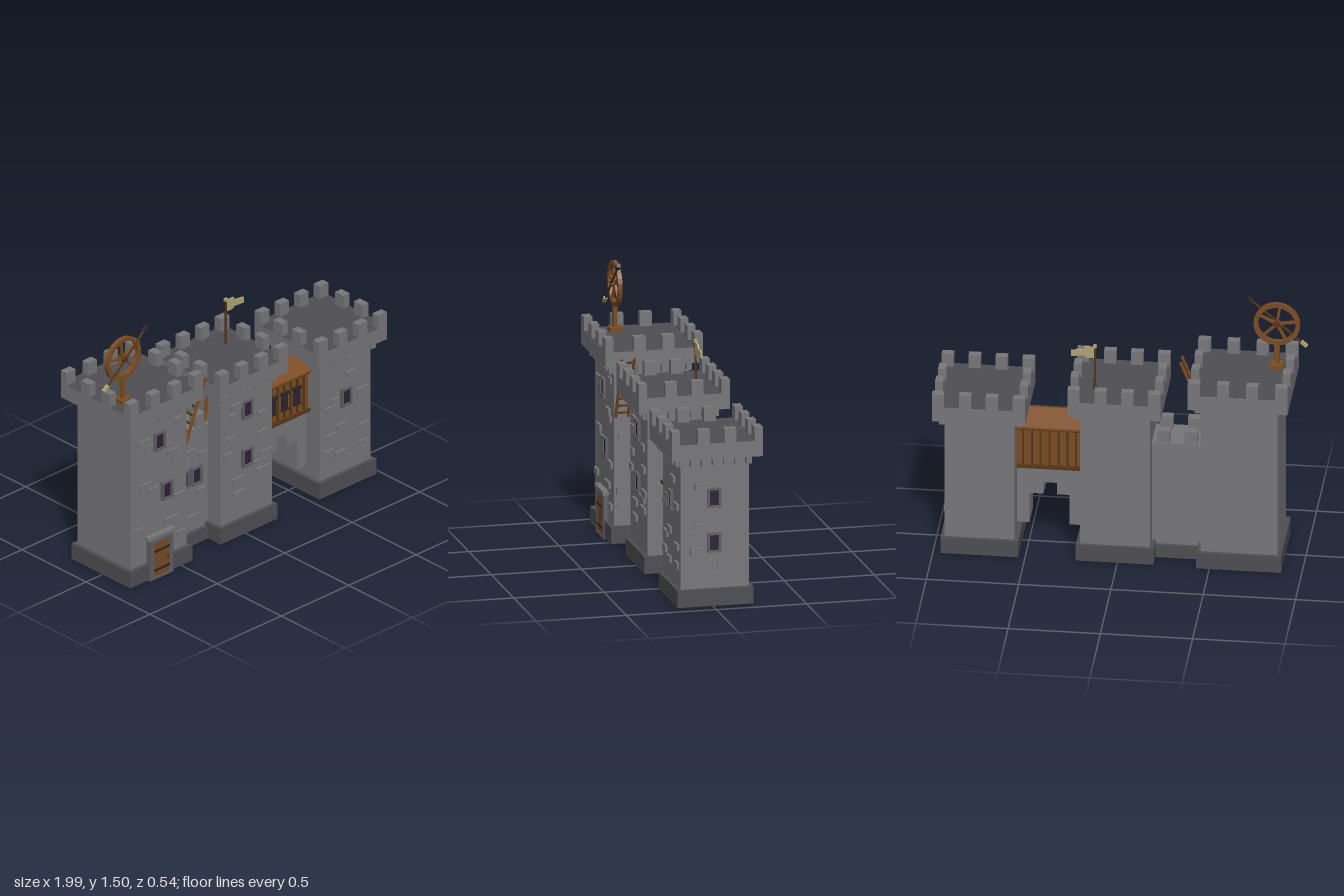
import * as THREE from 'three';

const mat = (name, color) => {
  const m = new THREE.MeshStandardMaterial({ color });
  m.name = name;
  return m;
};

export function createModel() {
  const stone = mat('stone', 0x77777a), dark = mat('darkStone', 0x4f4e53), trim = mat('frameStone', 0x605e64);
  const wood = mat('wood', 0x7b4c24), darkWood = mat('darkWood', 0x573618), glass = mat('glass', 0x2d2233);
  const iron = mat('iron', 0x2e2528), cloth = mat('cloth', 0xb0a575);
  const root = new THREE.Group();
  root.name = 'castle';

  const group = (name, parent = root) => {
    const g = new THREE.Group();
    g.name = name;
    parent.add(g);
    return g;
  };
  const add = (parent, name, geo, m, x = 0, y = 0, z = 0) => {
    const mesh = new THREE.Mesh(geo, m);
    mesh.name = name;
    mesh.position.set(x, y, z);
    parent.add(mesh);
    return mesh;
  };
  // Box given by its lower and upper corners
  const box = (parent, name, m, x0, x1, y0, y1, z0, z1) =>
    add(parent, name, new THREE.BoxGeometry(x1 - x0, y1 - y0, z1 - z0), m, (x0 + x1) / 2, (y0 + y1) / 2, (z0 + z1) / 2);
  // Square beam between two points
  const beam = (parent, name, m, a, b, t) => {
    const A = new THREE.Vector3(...a), B = new THREE.Vector3(...b), d = B.clone().sub(A);
    const mesh = add(parent, name, new THREE.BoxGeometry(t, d.length(), t), m);
    mesh.position.copy(A).add(B).multiplyScalar(0.5);
    mesh.quaternion.setFromUnitVectors(new THREE.Vector3(0, 1, 0), d.normalize());
    return mesh;
  };

  // Framed window, facing +z in its own group
  const addWindow = (parent, x, y, z, turn = 0) => {
    const g = group('window', parent), w = 0.038, h = 0.054, t = 0.012;
    box(g, 'windowGlass', glass, -w + t, w - t, -h + t, h - t, 0, 0.009);
    for (const s of [-1, 1]) {
      add(g, 'windowJamb', new THREE.BoxGeometry(t, 2 * h, 0.036), trim, s * (w - t / 2), 0, 0);
      add(g, 'windowSill', new THREE.BoxGeometry(2 * w, t, 0.036), trim, 0, s * (h - t / 2), 0);
    }
    g.position.set(x, y, z);
    g.rotation.y = turn;
  };
  // Raised bricks: [x, y, width] on a front face
  const bricks = (parent, z, list) => {
    for (const [x, y, w] of list) add(parent, 'brick', new THREE.BoxGeometry(w, 0.035, 0.026), stone, x, y, z);
  };

  // Tower: body, footing, corbels, platform and battlements
  const tower = (name, cx, cz, body, foot, top, deckY) => {
    const g = group(name);
    g.position.set(cx, 0, cz);
    box(g, 'towerBody', stone, -body, body, 0.02, deckY + 0.01, -body, body);
    box(g, 'footing', dark, -foot, foot, 0.01, 0.105, -foot, foot);
    const deck = [stone, stone, dark, stone, stone, stone];
    box(g, 'platform', deck, -top, top, deckY, deckY + 0.088, -top, top);
    for (let i = 0; i < 7; i++) {
      const p = -body + 0.005 + i * (2 * body - 0.01) / 6;
      box(g, 'corbel', stone, p - 0.016, p + 0.016, deckY - 0.045, deckY, body, body + 0.03);
      box(g, 'corbel', stone, body, body + 0.03, deckY - 0.045, deckY, p - 0.016, p + 0.016);
    }
    const w = 0.066, d = 0.045, y = deckY + 0.088;
    for (let i = 0; i < 4; i++) {
      const a = -top + i * (2 * top - w) / 3;
      for (const s of [-1, 1]) {
        const e0 = s < 0 ? -top : top - d;
        box(g, 'merlon', stone, a, a + w, y, y + 0.077, e0, e0 + d);
        if (i % 3) box(g, 'merlon', stone, e0, e0 + d, y, y + 0.077, a, a + w);
      }
    }
    return g;
  };
  const left = tower('leftTower', -0.66, 0, 0.208, 0.23, 0.27, 1.0);
  const mid = tower('middleTower', 0.012, -0.005, 0.19, 0.211, 0.252, 0.912);
  const right = tower('rightTower', 0.746, -0.005, 0.19, 0.211, 0.252, 0.838);

  addWindow(left, 0, 0.825, 0.208);
  addWindow(left, 0.055, 0.505, 0.208);
  addWindow(mid, 0, 0.76, 0.19);
  addWindow(mid, 0, 0.465, 0.19);
  addWindow(right, 0, 0.56, 0.19);
  for (const y of [0.61, 0.36]) addWindow(right, 0.19, y, 0.005, Math.PI / 2);

  bricks(left, 0.208, [[-0.11, 0.85, 0.09], [-0.08, 0.81, 0.06], [0.1, 0.72, 0.08], [0.13, 0.685, 0.07], [-0.1, 0.58, 0.08],
    [-0.04, 0.535, 0.07], [0.15, 0.435, 0.08], [-0.15, 0.32, 0.07], [0.09, 0.31, 0.1], [0.14, 0.9, 0.06], [0.16, 0.2, 0.06]]);
  bricks(mid, 0.19, [[-0.08, 0.8, 0.08], [-0.1, 0.745, 0.06], [0.12, 0.57, 0.08], [0.14, 0.44, 0.09], [0.1, 0.4, 0.12],
    [-0.06, 0.345, 0.09], [0.12, 0.345, 0.1], [-0.06, 0.26, 0.08], [-0.14, 0.52, 0.06], [0.11, 0.69, 0.06], [-0.12, 0.61, 0.06]]);
  bricks(right, 0.19, [[0.04, 0.69, 0.08], [-0.11, 0.52, 0.08], [-0.08, 0.56, 0.06], [0.12, 0.555, 0.08], [-0.03, 0.39, 0.08],
    [-0.11, 0.35, 0.08], [-0.13, 0.26, 0.07], [0.13, 0.335, 0.08], [-0.04, 0.225, 0.08], [0.13, 0.23, 0.07]]);
  const sideBricks = (parent, x, list) => {
    const g = group('sideBricks', parent);
    g.rotation.y = Math.PI / 2;
    bricks(g, x, list);
  };
  sideBricks(right, 0.19, [[-0.065, 0.675, 0.09], [-0.075, 0.45, 0.09], [-0.095, 0.315, 0.08], [0.055, 0.225, 0.08]]);
  sideBricks(left, 0.208, [[-0.15, 0.6, 0.07], [-0.16, 0.3, 0.07], [-0.15, 0.22, 0.08]]);

  // Curtain wall between left and middle towers
  const wall = group('curtainWall');
  box(wall, 'wallBody', stone, -0.46, -0.17, 0.02, 0.69, -0.11, 0.085);
  box(wall, 'wallCap', stone, -0.46, -0.17, 0.69, 0.708, -0.125, 0.095);
  box(wall, 'wallFooting', dark, -0.46, -0.17, 0.01, 0.085, -0.13, 0.11);
  for (const x of [-0.425, -0.275]) for (const z of [-0.12, 0.04])
    box(wall, 'merlon', stone, x, x + 0.07, 0.708, 0.78, z, z + 0.05);
  for (const x of [-0.363, -0.27]) addWindow(wall, x, 0.418, 0.085);
  bricks(wall, 0.085, [[-0.31, 0.67, 0.08], [-0.32, 0.57, 0.09], [-0.36, 0.51, 0.07], [-0.41, 0.62, 0.07],
    [-0.39, 0.315, 0.08], [-0.23, 0.31, 0.07], [-0.3, 0.165, 0.09], [-0.22, 0.53, 0.06]]);

  // Door with frame, planks and iron straps
  const door = group('door');
  for (const x of [-0.747, -0.602]) box(door, 'doorJamb', trim, x, x + 0.027, 0, 0.245, 0.19, 0.236);
  box(door, 'doorHead', trim, -0.747, -0.575, 0.22, 0.245, 0.19, 0.236);
  box(door, 'lintel', stone, -0.76, -0.565, 0.245, 0.268, 0.19, 0.24);
  box(door, 'threshold', trim, -0.747, -0.575, 0, 0.015, 0.19, 0.236);
  for (let i = 0; i < 4; i++) box(door, 'doorPlank', wood, -0.719 + i * 0.0295, -0.692 + i * 0.0295, 0.015, 0.22, 0.2, 0.232);
  for (const y of [0.055, 0.17]) box(door, 'strap', iron, -0.718, -0.604, y - 0.006, y + 0.006, 0.228, 0.238);
  add(door, 'doorKnob', new THREE.SphereGeometry(0.007, 8, 6), iron, -0.617, 0.115, 0.236);

  // Stepped stone arch under the covered bridge
  const bridge = group('coveredBridge');
  const arch = new THREE.Shape([[0.2, 0.16], [0.272, 0.16], [0.272, 0.34], [0.34, 0.34], [0.34, 0.41], [0.412, 0.41],
    [0.412, 0.34], [0.488, 0.34], [0.488, 0.16], [0.558, 0.16], [0.558, 0.515], [0.2, 0.515]].map(p => new THREE.Vector2(...p)));
  add(bridge, 'stoneArch', new THREE.ExtrudeGeometry(arch, { depth: 0.17, bevelEnabled: false }), stone, 0, 0, -0.09);

  // Timber gallery and gable roof
  box(bridge, 'gallery', wood, 0.2, 0.558, 0.515, 0.76, -0.105, 0.095);
  for (const s of [-1, 1]) {
    const z = -0.005 + s * 0.104;
    for (const y of [0.517, 0.75]) box(bridge, 'rail', darkWood, 0.2, 0.558, y - 0.009, y + 0.009, z - 0.014, z + 0.014);
    for (let i = 0; i < 7; i++) {
      const x = 0.233 + i * 0.048;
      box(bridge, 'batten', darkWood, x - 0.005, x + 0.005, 0.525, 0.75, z - 0.007, z + 0.004);
    }
  }
  for (const x of [0.287, 0.378, 0.467]) {
    box(bridge, 'galleryWindow', glass, x - 0.023, x + 0.023, 0.582, 0.68, 0.09, 0.104);
    box(bridge, 'windowHood', iron, x - 0.029, x + 0.029, 0.672, 0.688, 0.09, 0.112);
    box(bridge, 'windowLedge', iron, x - 0.026, x + 0.026, 0.576, 0.586, 0.09, 0.109);
  }
  const gable = new THREE.Shape([[-0.127, 0.752], [0.127, 0.752], [0.127, 0.764], [0, 0.825], [-0.127, 0.764]].map(p => new THREE.Vector2(...p)));
  add(bridge, 'roof', new THREE.ExtrudeGeometry(gable, { depth: 0.358, bevelEnabled: false }), wood, 0.2, 0, -0.005).rotation.y = Math.PI / 2;

  // Ladder and prop beam
  const ladder = group('ladder');
  const foot = [-0.452, 0.71], head = [-0.305, 1.07];
  for (const z of [0.13, 0.198]) beam(ladder, 'ladderRail', wood, [...foot, z], [...head, z], 0.013);
  for (let i = 0; i < 8; i++) {
    const t = 0.07 + i * 0.123, x = foot[0] + t * (head[0] - foot[0]), y = foot[1] + t * (head[1] - foot[1]);
    beam(ladder, 'rung', darkWood, [x, y, 0.13], [x, y, 0.198], 0.01);
  }
  beam(root, 'propBeam', wood, [-0.205, 0.715, 0.08], [-0.16, 0.925, 0.08], 0.016);

  // Spoked wheel on a post
  const winch = group('wheel');
  winch.position.set(-0.83, 1.352, 0.108);
  const ring = new THREE.Shape().absarc(0, 0, 0.126, 0, Math.PI * 2);
  ring.holes.push(new THREE.Path().absarc(0, 0, 0.102, 0, Math.PI * 2, true));
  add(winch, 'wheelRim', new THREE.ExtrudeGeometry(ring, { depth: 0.024, bevelEnabled: false, curveSegments: 14 }), wood, 0, 0, -0.012);
  for (let i = 0; i < 5; i++) {
    const a = Math.PI / 10 * 1.5 + i * Math.PI * 0.4;
    beam(winch, 'spoke', wood, [0, 0, 0], [0.108 * Math.cos(a), 0.108 * Math.sin(a), 0], 0.014);
  }
  add(winch, 'hub', new THREE.CylinderGeometry(0.017, 0.017, 0.05, 10), darkWood).rotation.x = Math.PI / 2;
  box(winch, 'wheelPost', wood, -0.014, 0.014, -0.25, -0.1, -0.012, 0.012);
  box(winch, 'postFoot', wood, -0.034, 0.034, -0.266, -0.24, -0.04, 0.034);
  // Slanted rod with a weight and a pale tip
  beam(winch, 'rod', darkWood, [-0.13, -0.114, 0.02], [0.14, 0.124, 0.02], 0.009);
  beam(winch, 'rodWeight', iron, [0.138, 0.122, 0.02], [0.16, 0.141, 0.02], 0.022);
  beam(winch, 'rodTip', cloth, [-0.16, -0.138, 0.02], [-0.128, -0.111, 0.02], 0.018);

  // Flag
  const flag = group('flag');
  add(flag, 'flagPole', new THREE.CylinderGeometry(0.006, 0.007, 0.27, 8), darkWood, 0.132, 1.13, -0.1);
  box(flag, 'poleCap', cloth, 0.123, 0.141, 1.258, 1.274, -0.109, -0.091);
  const banner = new THREE.Shape([[0.138, 1.195], [0.175, 1.195], [0.195, 1.208], [0.262, 1.202], [0.262, 1.236],
    [0.195, 1.244], [0.188, 1.262], [0.138, 1.262]].map(p => new THREE.Vector2(...p)));
  add(flag, 'banner', new THREE.ExtrudeGeometry(banner, { depth: 0.01, bevelEnabled: false }), cloth, 0, 0, -0.105);

  return root;
}
